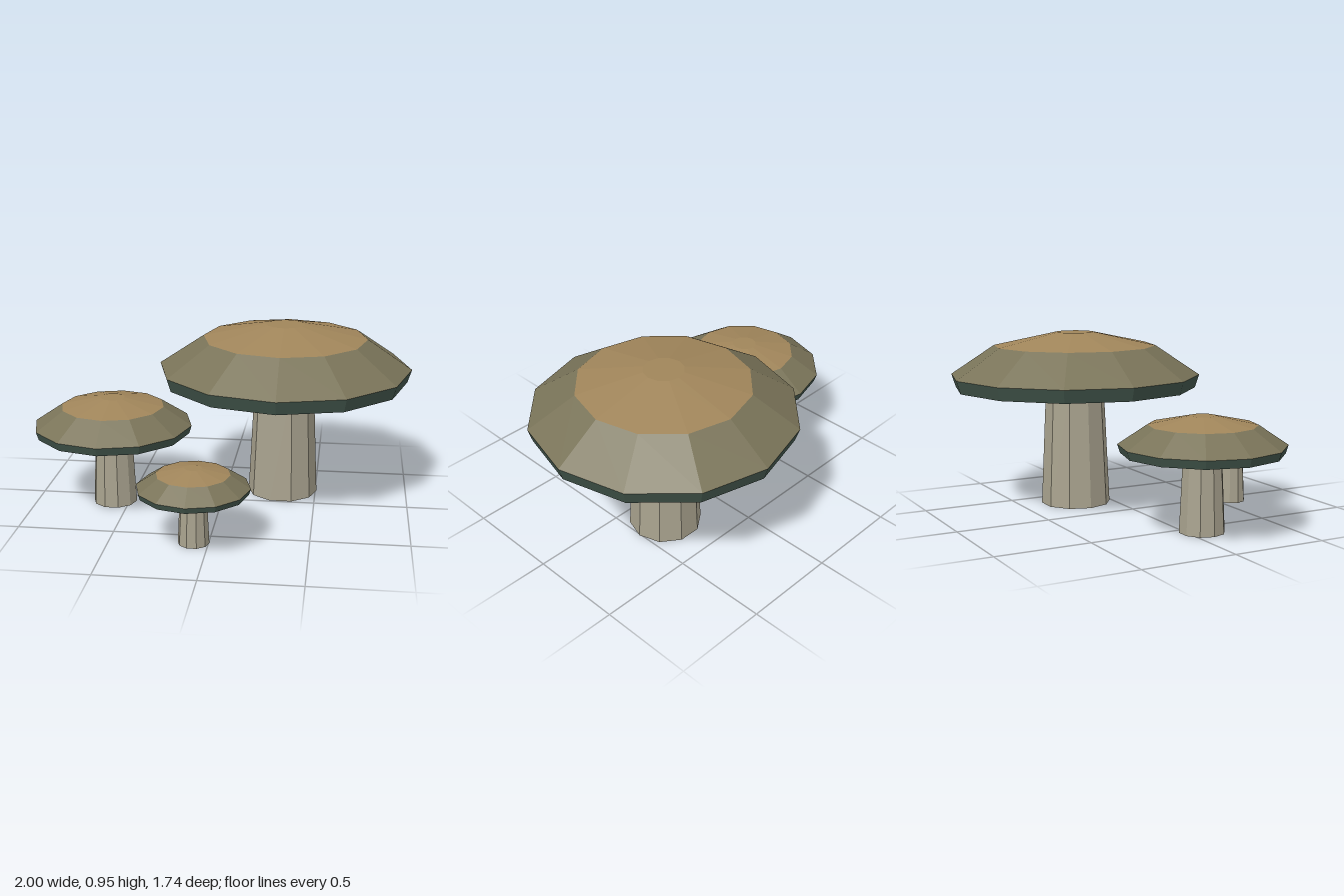
import * as THREE from 'three';

const paint = (color) => new THREE.MeshStandardMaterial({ color, flatShading: true });

export function createModel() {
  const model = new THREE.Group();
  model.name = 'mushroomCluster';

  const stemPaint = paint(0xa8a28e);
  const crownPaint = paint(0xa0855a);
  const slopePaint = paint(0x7a7459);
  const gillPaint = paint(0x41544a);

  // Twelve-sided ring of cap surface; profile runs from bottom to top
  const ring = (profile) =>
    new THREE.LatheGeometry(profile.map(([r, y]) => new THREE.Vector2(r, y)), 12);

  // Tapered ten-sided stem with a corner pointing along x
  const stemGeometry = new THREE.CylinderGeometry(0.16, 0.19, 0.645, 10, 1, false, Math.PI / 2);
  stemGeometry.translate(0, 0.3225, 0);

  const parts = [
    ['stem', stemGeometry, stemPaint],
    // Flat underside and the narrow flared rim
    ['capUnderside', ring([[0, 0.645], [0.66, 0.645], [0.682, 0.715]]), gillPaint],
    // Steep outer slope of the cap
    ['capSlope', ring([[0.682, 0.715], [0.443, 0.875]]), slopePaint],
    // Shallow crown closed by a small flat top
    ['capCrown', ring([[0.443, 0.875], [0.105, 0.948], [0, 0.948]]), crownPaint],
  ];

  // The three mushrooms share one shape at different sizes
  const mushrooms = [
    ['largeMushroom', 0.317, -0.19, 1],
    ['mediumMushroom', -0.579, 0.078, 0.62],
    ['smallMushroom', -0.075, 0.583, 0.418],
  ];
  for (const [name, x, z, size] of mushrooms) {
    const mushroom = new THREE.Group();
    mushroom.name = name;
    for (const [partName, geometry, material] of parts) {
      const mesh = new THREE.Mesh(geometry, material);
      mesh.name = partName;
      mushroom.add(mesh);
    }
    mushroom.position.set(x, 0, z);
    mushroom.scale.setScalar(size);
    model.add(mushroom);
  }
  return model;
}
